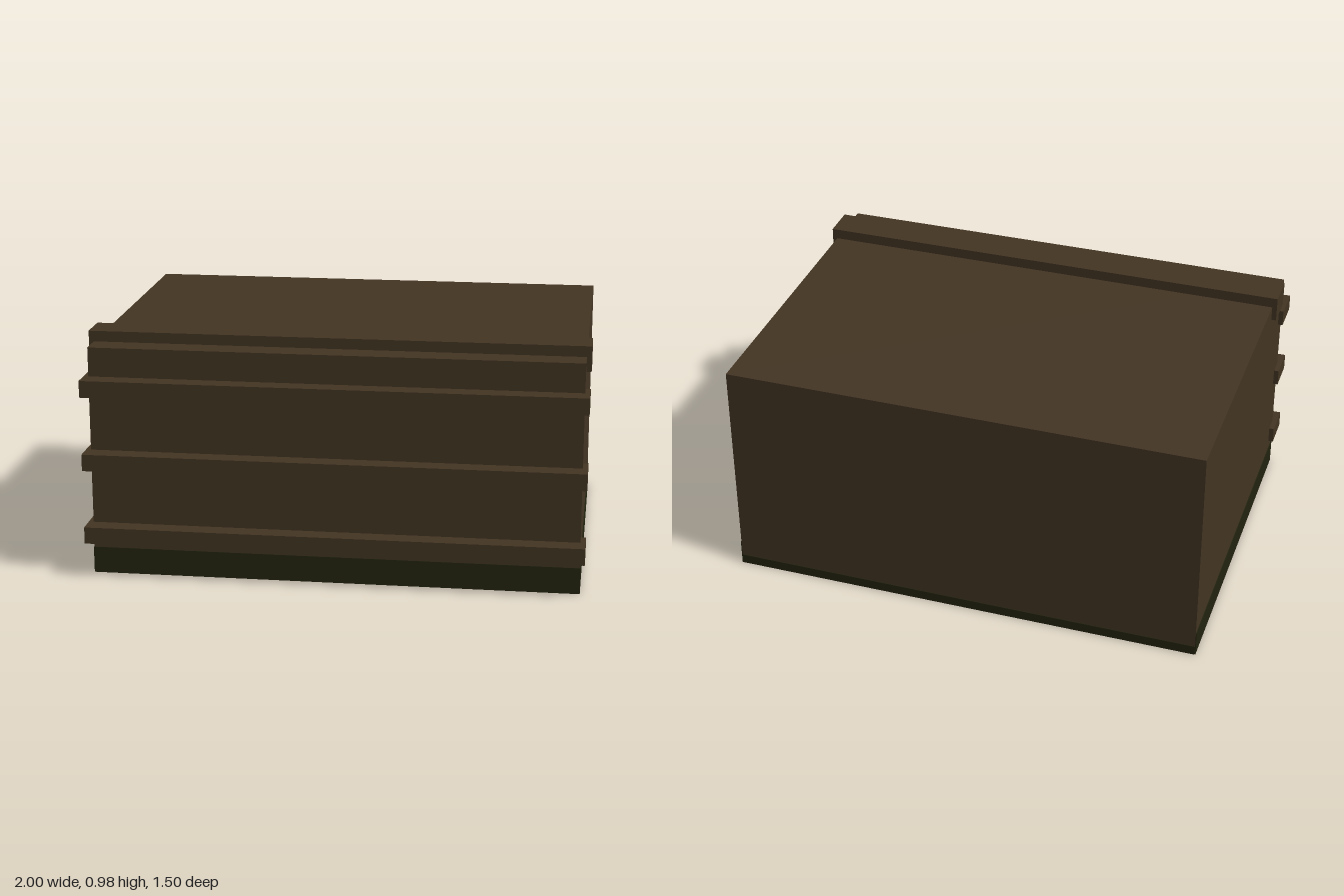
import * as THREE from 'three';

export function createModel() {
  const crate = new THREE.Group();
  crate.name = 'slattedCrate';

  const wood = new THREE.MeshStandardMaterial({ color: 0x433523 });
  wood.name = 'darkWood';
  const moss = new THREE.MeshStandardMaterial({ color: 0x23230f });
  moss.name = 'mossGreen';

  // Box given by its low and high limits on each axis
  function box(name, material, [x0, x1], [y0, y1], [z0, z1]) {
    const mesh = new THREE.Mesh(new THREE.BoxGeometry(x1 - x0, y1 - y0, z1 - z0), material);
    mesh.position.set((x0 + x1) / 2, (y0 + y1) / 2, (z0 + z1) / 2);
    mesh.name = name;
    crate.add(mesh);
  }

  const halfWidth = 0.98, back = -0.747, front = 0.675, t = 0.003;

  // Main body
  box('body', wood, [-halfWidth, halfWidth], [t, 0.94], [back, front]);

  // Horizontal slats wrapped over the front edge
  for (const y of [0.18, 0.485, 0.788]) {
    box('frontSlat', wood, [-1, 1], [y - 0.034, y + 0.034], [0.608, 0.75]);
  }

  // Larger slat across the lid
  box('lidSlat', wood, [-1, 1], [0.88, 0.983], [0.43, 0.572]);

  // Mossy band around the foot, thinner at the back
  box('frontMoss', moss, [-halfWidth, halfWidth], [0, 0.108], [front, front + t]);
  box('backMoss', moss, [-halfWidth, halfWidth], [0, 0.04], [back - t, back]);
  for (const side of [-1, 1]) {
    const xs = [side * halfWidth, side * (halfWidth + t)].sort((a, b) => a - b);
    box(side > 0 ? 'leftMoss' : 'rightMoss', moss, xs, [0, 0.106], [back, front]);
  }

  // Mossy underside, leaving a bare wooden rim
  box('undersideMoss', moss, [-0.92, 0.92], [0, t], [-0.69, 0.61]);

  return crate;
}
